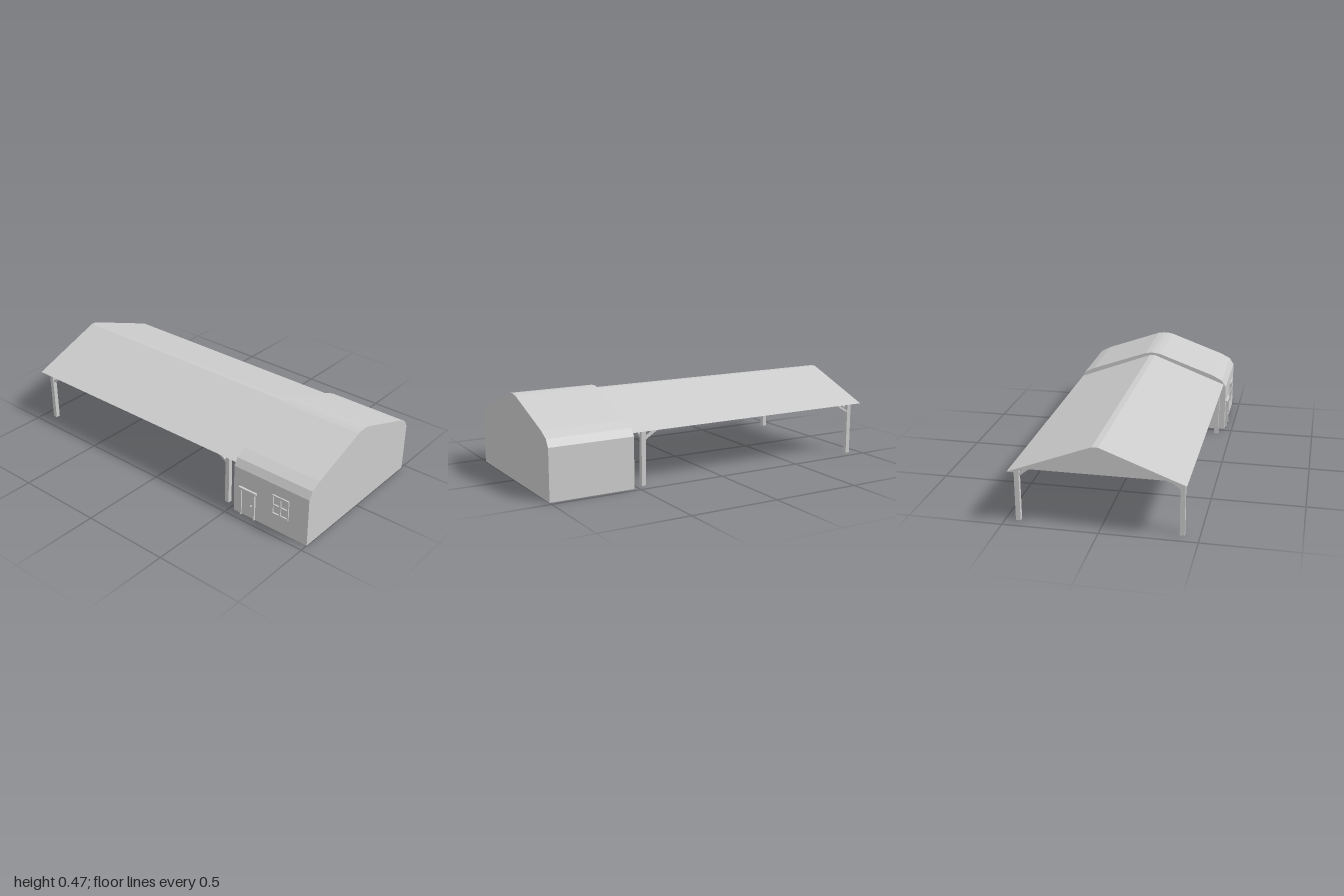
import * as THREE from 'three';

const mat = new THREE.MeshStandardMaterial({ color: 0xcccccc, flatShading: true });
const MID = -0.01; // z of the ridge line

function add(parent, name, geometry) {
  const mesh = new THREE.Mesh(geometry, mat);
  mesh.name = name;
  parent.add(mesh);
  return mesh;
}

// Box given by its limits on each axis
function box(parent, name, x0, x1, y0, y1, z0, z1) {
  const mesh = add(parent, name, new THREE.BoxGeometry(x1 - x0, y1 - y0, z1 - z0));
  mesh.position.set((x0 + x1) / 2, (y0 + y1) / 2, (z0 + z1) / 2);
  return mesh;
}

// Extrude a [z, y] outline along x
function prism(parent, name, outline, x0, x1) {
  const shape = new THREE.Shape(outline.map(([z, y]) => new THREE.Vector2(-z, y)));
  const geometry = new THREE.ExtrudeGeometry(shape, { depth: x1 - x0, bevelEnabled: false });
  geometry.rotateY(Math.PI / 2).translate(x0, 0, 0);
  return add(parent, name, geometry);
}

// Mirror a half profile [distance from ridge, y] about the ridge line
function mirrored(half) {
  return [
    ...half.map(([d, y]) => [MID + d, y]),
    ...[...half].reverse().map(([d, y]) => [MID - d, y]),
  ];
}

// Square beam between two points
function beam(parent, name, a, b, size) {
  const from = new THREE.Vector3(...a), to = new THREE.Vector3(...b);
  const mesh = add(parent, name, new THREE.BoxGeometry(size, size, from.distanceTo(to)));
  mesh.position.copy(from).add(to).multiplyScalar(0.5);
  mesh.lookAt(to);
  return mesh;
}

function createHouse() {
  const house = new THREE.Group();
  house.name = 'house';
  const half = [[0.463, 0], [0.463, 0.28], [0.438, 0.32], [0.38, 0.35], [0.045, 0.47], [0.012, 0.475]];
  prism(house, 'houseBody', mirrored(half), 0.525, 1);

  // Door with frame, lintel and knob
  const door = new THREE.Group();
  door.name = 'door';
  house.add(door);
  box(door, 'doorLeaf', 0.58, 0.66, 0.005, 0.16, 0.45, 0.456);
  box(door, 'doorJamb', 0.572, 0.581, 0, 0.165, 0.45, 0.464);
  box(door, 'doorJamb', 0.659, 0.668, 0, 0.165, 0.45, 0.464);
  box(door, 'doorLintel', 0.563, 0.677, 0.16, 0.173, 0.45, 0.466);
  const knob = add(door, 'doorKnob', new THREE.SphereGeometry(0.005, 8, 6));
  knob.position.set(0.648, 0.085, 0.467);
  beam(door, 'knobStem', [0.648, 0.085, 0.453], [0.648, 0.085, 0.467], 0.004);

  // Four-pane window
  const window = new THREE.Group();
  window.name = 'window';
  house.add(window);
  for (const x of [0.782, 0.83, 0.878]) {
    box(window, 'windowUpright', x - 0.004, x + 0.004, 0.1, 0.218, 0.45, 0.461);
  }
  for (const y of [0.104, 0.157, 0.214]) {
    box(window, 'windowRail', 0.778, 0.882, y - 0.004, y + 0.004, 0.45, 0.461);
  }
  return house;
}

function createCanopy() {
  const canopy = new THREE.Group();
  canopy.name = 'canopy';

  // Thin pitched roof with a narrow flat ridge
  const outer = mirrored([[0.45, 0.295], [0.016, 0.46]]);
  const inner = mirrored([[0.42, 0.293], [0.36, 0.312], [0.06, 0.427], [0.016, 0.438]]).reverse();
  prism(canopy, 'canopyRoof', [...outer, ...inner], -1, 0.525);

  // Recessed gable closing the open end
  prism(canopy, 'gable', mirrored([[0.422, 0.296], [0.016, 0.442]]), -0.955, -0.945);

  // Corner posts with braces along and across the roof
  for (const [px, inward] of [[-0.928, 1], [0.453, -1]]) {
    for (const side of [1, -1]) {
      const pz = MID + side * 0.422;
      const post = new THREE.Group();
      post.name = 'postWithBraces';
      canopy.add(post);
      box(post, 'post', px - 0.0125, px + 0.0125, 0, 0.3, pz - 0.0125, pz + 0.0125);
      beam(post, 'longBrace', [px, 0.243, pz], [px + inward * 0.085, 0.297, pz], 0.013);
      beam(post, 'crossBrace', [px, 0.243, pz], [px, 0.31, pz - side * 0.085], 0.013);
    }
  }
  return canopy;
}

export function createModel() {
  const model = new THREE.Group();
  model.name = 'shelterWithHouse';
  model.add(createHouse(), createCanopy());
  return model;
}
